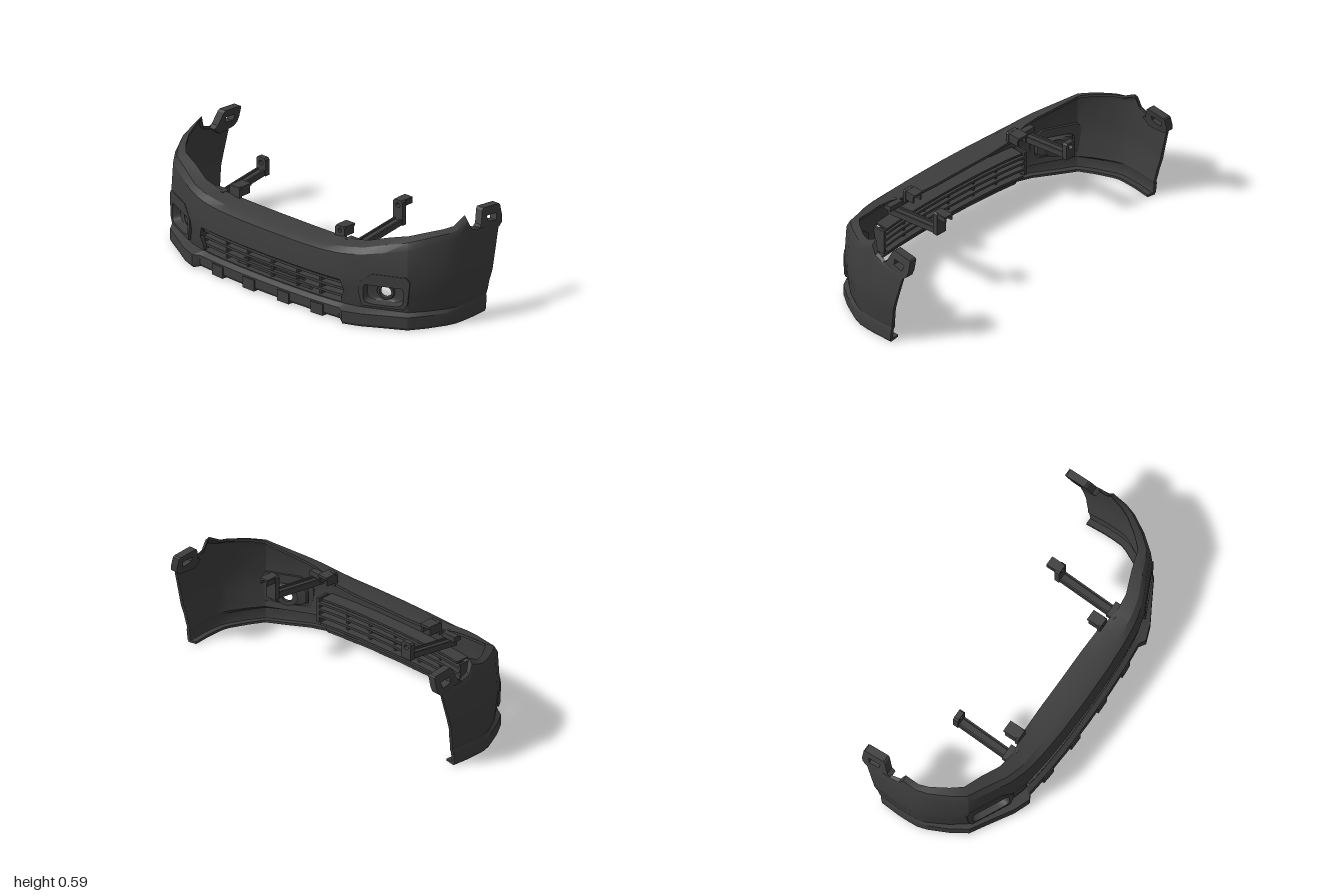
import * as THREE from 'three';
import { toCreasedNormals } from 'three/addons/utils/BufferGeometryUtils.js';

const plastic = new THREE.MeshStandardMaterial({ color: 0x3d3d3d, side: THREE.DoubleSide });
plastic.name = 'darkPlastic';

// Half plan of the bumper: x, z, top height, crease height, depth of top return, lip overhang
const half = [
  [0, 0.370, 0.40, 0.37, 0.165, 0.02], [0.2, 0.367, 0.40, 0.37, 0.163, 0.02],
  [0.36, 0.358, 0.405, 0.372, 0.15, 0.02], [0.46, 0.348, 0.42, 0.378, 0.12, 0.02],
  [0.50, 0.342, 0.425, 0.382, 0.11, 0.022], [0.53, 0.336, 0.43, 0.386, 0.105, 0.05],
  [0.62, 0.31, 0.445, 0.40, 0.09, 0.042], [0.735, 0.255, 0.48, 0.425, 0.08, 0.03],
  [0.85, 0.20, 0.51, 0.455, 0.065, 0.02], [0.91, 0.12, 0.525, 0.475, 0.055, 0.012],
  [0.965, 0.02, 0.538, 0.49, 0.045, 0.006], [0.985, -0.045, 0.545, 0.495, 0.04, 0.002],
  [0.99, -0.125, 0.588, 0.50, 0.035, 0], [0.99, -0.152, 0.52, 0.48, 0.025, 0],
  [0.99, -0.21, 0.498, 0.465, 0.02, 0], [0.982, -0.36, 0.478, 0.45, 0.015, 0],
];
const stations = [...half.slice(1).reverse().map(([x, ...r]) => [-x, ...r]), ...half];

// Cross-section of one station: outward offset, height, inner-face shift (outward, up)
function profile([x, , top, crease, depth, lip]) {
  const lift = Math.abs(x) < 0.52 ? 0.012 : 0;
  return [
    [lip - 0.06, 0.006 + lift, 0, 0.014], [lip - 0.008, lift, -0.014, 0.014],
    [lip, 0.015 + lift, -0.02, 0.004], [lip, 0.075, -0.02, 0],
    [-0.006, 0.094, -0.02, 0], [0, 0.125, -0.02, 0], [0.004, 0.175, -0.02, 0],
    [0.014, 0.234, -0.02, 0], [0.012, 0.30, -0.02, 0], [0.003, crease, -0.016, -0.012],
    [-depth * 0.25, crease + (top - crease) * 0.67, -0.008, -0.016], [-depth, top, 0, -0.016],
  ];
}

function shellPoint(i, j, inner) {
  const s = stations[i], a = stations[Math.max(i - 1, 0)], b = stations[Math.min(i + 1, stations.length - 1)];
  const n = new THREE.Vector2(a[1] - b[1], b[0] - a[0]).normalize();
  const [off, h, dOff, dy] = profile(s)[j];
  const o = off + (inner ? dOff : 0), y = h + (inner ? dy : 0);
  let x = s[0] + n.x * o, z = s[1] + n.y * o;
  if (j === 6 && Math.abs(s[0]) === 0.5) x += Math.sign(x) * 0.02;
  // Slanted trailing edge
  if (z < 0) z *= (0.26 + 0.1 * Math.pow(Math.min(y, 0.47) / 0.47, 1.4)) / 0.36;
  return [x, y, z];
}

// Thick skin with the grille and lamp openings left out
function shellGeometry() {
  const rows = 12, pos = [];
  const solid = (i, j) => {
    if (i < 0 || j < 0 || i >= stations.length - 1 || j >= rows - 1) return false;
    const m = Math.abs((stations[i][0] + stations[i + 1][0]) / 2);
    if (m < 0.5 && j >= 4 && j < 7) return false;
    return !(m > 0.62 && m < 0.85 && j >= 5 && j < 7);
  };
  const quad = (a, b, c, d) => pos.push(...a, ...b, ...c, ...a, ...c, ...d);
  for (let i = 0; i < stations.length - 1; i++) for (let j = 0; j < rows - 1; j++) {
    if (!solid(i, j)) continue;
    const c = [[i, j], [i + 1, j], [i + 1, j + 1], [i, j + 1]];
    const o = c.map(([p, q]) => shellPoint(p, q, false)), n = c.map(([p, q]) => shellPoint(p, q, true));
    quad(...o);
    quad(n[3], n[2], n[1], n[0]);
    [[0, -1], [1, 0], [0, 1], [-1, 0]].forEach(([di, dj], k) => {
      const l = (k + 1) % 4;
      if (!solid(i + di, j + dj)) quad(o[l], o[k], n[k], n[l]);
    });
  }
  const g = new THREE.BufferGeometry();
  g.setAttribute('position', new THREE.Float32BufferAttribute(pos, 3));
  return g;
}

// Body depth at a given x near the front
function planZ(x) {
  const a = Math.abs(x);
  const k = Math.max(1, half.findIndex(s => s[0] >= a));
  const p = half[k - 1], q = half[k];
  return p[1] + (q[1] - p[1]) * (a - p[0]) / (q[0] - p[0]);
}

// Box following the curve of the front
function bentBox(x0, x1, y0, y1, d0, d1) {
  const g = new THREE.BoxGeometry(x1 - x0, y1 - y0, d1 - d0, 14, 1, 1);
  g.translate((x0 + x1) / 2, (y0 + y1) / 2, (d0 + d1) / 2);
  const p = g.attributes.position;
  for (let i = 0; i < p.count; i++) p.setZ(i, p.getZ(i) + planZ(p.getX(i)));
  return g;
}

const box = (w, h, d, x, y, z) => new THREE.BoxGeometry(w, h, d).translate(x, y, z);
const vec = pts => pts.map(([x, y]) => new THREE.Vector2(x, y));

function plate(points, holes, depth) {
  const s = new THREE.Shape(vec(points));
  holes.forEach(h => s.holes.push(new THREE.Path(vec(h))));
  return new THREE.ExtrudeGeometry(s, { depth, bevelEnabled: false });
}

// Rounded-rectangle ring
function ring(rx, ry, e, n = 32) {
  return Array.from({ length: n }, (_, i) => {
    const t = i / n * Math.PI * 2, c = Math.cos(t), s = Math.sin(t);
    return [rx * Math.sign(c) * Math.abs(c) ** e, ry * Math.sign(s) * Math.abs(s) ** e];
  });
}

// Lamp bowl lofted from the bezel opening to the round lamp hole
function bowlGeometry() {
  const levels = [[0.112, 0.06, 0.45, 0.014], [0.1, 0.052, 0.5, -0.025], [0.05, 0.046, 0.9, -0.035],
    [0.045, 0.043, 1, -0.022], [0.033, 0.033, 1, -0.022], [0.03, 0.03, 1, -0.045], [0.06, 0.055, 1, -0.045]];
  const loops = levels.map(([a, b, e, z]) => ring(a, b, e).map(p => [...p, z]));
  const pos = [];
  for (let k = 0; k < loops.length - 1; k++) for (let i = 0; i < 32; i++) {
    const l = (i + 1) % 32, a = loops[k][i], b = loops[k][l], c = loops[k + 1][l], d = loops[k + 1][i];
    pos.push(...a, ...b, ...c, ...a, ...c, ...d);
  }
  const g = new THREE.BufferGeometry();
  g.setAttribute('position', new THREE.Float32BufferAttribute(pos, 3));
  return g;
}

function mirrored(geo) {
  const g = geo.index ? geo.toNonIndexed() : geo.clone();
  g.scale(-1, 1, 1);
  const p = g.attributes.position, a = new THREE.Vector3(), b = new THREE.Vector3();
  for (let i = 0; i < p.count; i += 3) {
    a.fromBufferAttribute(p, i + 1); b.fromBufferAttribute(p, i + 2);
    p.setXYZ(i + 1, b.x, b.y, b.z); p.setXYZ(i + 2, a.x, a.y, a.z);
  }
  return g;
}

export function createModel() {
  const model = new THREE.Group();
  model.name = 'frontBumper';
  const add = (name, geo) => {
    const m = new THREE.Mesh(toCreasedNormals(geo, 0.45), plastic);
    m.name = name;
    model.add(m);
  };
  const pair = (name, geo) => { add(name + 'Left', geo); add(name + 'Right', mirrored(geo)); };

  add('bumperShell', shellGeometry());

  // Deep grille slats, posts and the surround of the central opening
  [0.204, 0.168, 0.128].forEach((y, i) => add('grilleBar' + (i + 1), bentBox(-0.515, 0.515, y - 0.007, y + 0.007, -0.085, -0.02)));
  [-0.34, -0.18, 0, 0.18, 0.34].forEach((x, i) => add('grillePost' + (i + 1), bentBox(x - 0.006, x + 0.006, 0.09, 0.235, -0.07, -0.026)));
  add('grilleLowerPanel', plate([[-0.28, 0.09], [0.28, 0.09], [0.21, 0.142], [-0.21, 0.142]], [], 0.012).translate(0, 0, 0.315));
  add('openingTop', bentBox(-0.50, 0.50, 0.226, 0.238, -0.085, 0.004));
  add('openingSill', bentBox(-0.50, 0.50, 0.084, 0.098, -0.095, -0.008));
  pair('openingSide', bentBox(0.515, 0.529, 0.09, 0.235, -0.085, -0.01));

  // Tabs along the lower lip
  [0.125, 0.36].forEach((x, i) => pair('lipTab' + (i + 1), bentBox(x - 0.042, x + 0.042, 0.002, 0.066, -0.02, 0.026)));

  // Fog lamp surrounds, set on the angled corners
  const place = g => g.rotateY(Math.atan2(0.11, 0.23)).translate(0.73, 0.188, 0.255);
  const bezel = [[-0.12, -0.075], [0.115, -0.073], [0.135, -0.04], [0.148, 0.085], [0.13, 0.112], [-0.065, 0.112], [-0.14, 0.052], [-0.138, 0.0]];
  pair('fogLampBezel', place(plate(bezel, [ring(0.112, 0.06, 0.45)], 0.036).translate(0, 0, -0.018)));
  pair('fogLampBowl', place(bowlGeometry()));

  // Slotted fixing brackets at the rear tips
  const tip = plate([[0.36, 0.46], [0.385, 0.48], [0.392, 0.51], [0.392, 0.57], [0.385, 0.576], [0.268, 0.585], [0.257, 0.575], [0.23, 0.505], [0.205, 0.49], [0.25, 0.45]],
    [[[0.283, 0.51], [0.283, 0.54], [0.355, 0.535], [0.345, 0.498]]], 0.045).rotateY(Math.PI / 2).translate(0.942, 0, 0);
  const tp = tip.attributes.position;
  for (let i = 0; i < tp.count; i++) tp.setX(i, tp.getX(i) - Math.max(0, tp.getY(i) - 0.47) * 0.25);
  pair('tipBracket', tip);

  // Long support arms: a channel, an upright eye plate and a foot
  const arm = (side, x, zEnd, top) => {
    const length = 0.24 - zEnd, rise = 0.05;
    const tilt = g => g.rotateX(Math.atan2(rise, length)).translate(x, 0.395, (0.24 + zEnd) / 2);
    add('armWeb' + side, tilt(box(0.05, 0.012, length, 0, 0, 0)));
    [-1, 1].forEach(s => add('armRail' + side, tilt(box(0.01, 0.034, length, s * 0.023, 0, 0))));
    const eye = [[-0.033, 0.40], [0.033, 0.40], [0.033, top - 0.01], [0.024, top], [-0.024, top], [-0.033, top - 0.01]];
    const hole = ring(0.016, 0.014, 1, 12).map(([a, b]) => [a, b + top - 0.03]);
    add('armEye' + side, plate(eye, [hole], 0.03).translate(x, 0, zEnd - 0.02));
    add('armFoot' + side, box(0.09, 0.03, 0.05, x, 0.405, 0.225));
  };
  arm('Right', -0.49, -0.10, 0.50);
  arm('Left', 0.485, -0.12, 0.54);
  add('armHookTop', box(0.054, 0.012, 0.06, 0.485, 0.534, -0.165));
  [-1, 1].forEach(s => add('armHookCheek', box(0.012, 0.03, 0.06, 0.485 + s * 0.022, 0.52, -0.165)));

  // Small clips on the upper edge
  const clip = (side, x, w, z0, r) => {
    const hole = r ? [ring(r, r, 1, 12).map(([a, b]) => [a, b + 0.44])] : [];
    add('clipPlate' + side, plate([[-w, 0.39], [w, 0.39], [w, 0.455], [w - 0.008, 0.465], [8e-3 - w, 0.465], [-w, 0.455]], hole, 0.02).translate(x, 0, 0.205));
    add('clipTop' + side, box(w * 1.9, 0.014, 0.21 - z0, x, 0.457, (0.21 + z0) / 2));
    [-1, 1].forEach(s => add('clipCheek' + side, box(0.01, 0.05, 0.2 - z0, x + s * (w - 0.007), 0.435, (0.22 + z0) / 2)));
  };
  clip('Right', -0.385, 0.036, 0.13, 0);
  clip('Left', 0.38, 0.033, 0.14, 0.012);

  return model;
}
